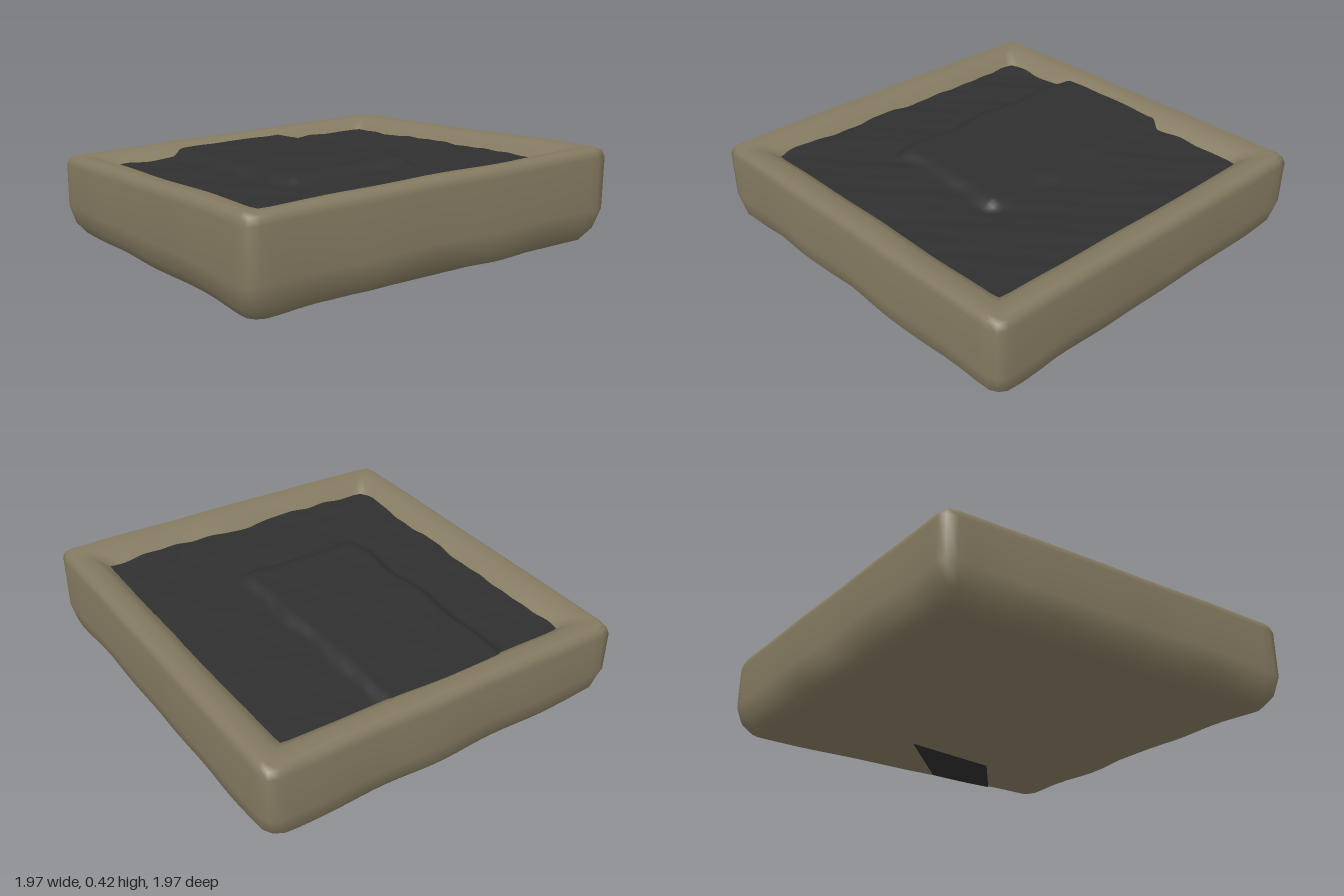
import * as THREE from 'three';

// Tilted planes of the slab, in local coordinates (u, v)
const topY = (u, v) => 0.385 + 0.035 * u + 0.041 * v;
const bottomY = (u, v) => 0.05 + 0.028 * u + 0.028 * v;

// Smooth repeatable unevenness, roughly -1..1
const wobble = (u, v, k = 1) =>
  (Math.sin(7.1 * u * k + 3.3 * v * k + 0.7) + Math.sin(-4.7 * u * k + 9.2 * v * k + 2.1) +
    Math.sin(13.3 * u * k + 11.1 * v * k)) / 3;

// Point on a rounded square of half size h, counterclockwise from above
function squarePoint(t, h, r) {
  const side = Math.floor(t * 4) % 4;
  const f = (t * 4 - Math.floor(t * 4)) * 2 - 1;
  const [a, b] = [[1, -f], [-f, -1], [-1, f], [f, 1]][side];
  const k = Math.max(h - r, 0);
  const iu = THREE.MathUtils.clamp(a * h, -k, k);
  const iv = THREE.MathUtils.clamp(b * h, -k, k);
  const du = a * h - iu, dv = b * h - iv;
  const len = Math.hypot(du, dv) || 1;
  return [iu + (du / len) * Math.min(r, h), iv + (dv / len) * Math.min(r, h)];
}

// Frame body: rings lofted from the underside, up the walls, over the rim
function frameGeometry() {
  // half size, corner radius, base plane, height offset, unevenness
  const rings = [
    [0, 0, bottomY, 0, 0],
    [0.645, 0.05, bottomY, 0, 0],
    [0.69, 0.06, bottomY, 0.018, 0.012],
    [0.72, 0.06, bottomY, 0.06, 0.016],
    [0.735, 0.045, bottomY, 0.13, 0.01],
    [0.731, 0.03, topY, -0.035, 0.004],
    [0.723, 0.03, topY, -0.01, 0.003],
    [0.708, 0.03, topY, 0, 0.003],
    [0.65, 0.02, topY, -0.004, 0.004],
    [0.61, 0.015, topY, -0.03, 0.005],
    [0.57, 0.01, topY, -0.075, 0],
  ];
  const n = 128, pos = [], index = [];
  rings.forEach(([h, r, plane, dy, rough], i) => {
    for (let j = 0; j < n; j++) {
      const [u, v] = squarePoint(j / n, h, r);
      const push = 1 + rough * 0.5 * wobble(v, u, 1.3);
      pos.push(u * push, plane(u, v) + dy + rough * wobble(u, v), v * push);
      if (i === 0) continue;
      const a = (i - 1) * n + j, b = (i - 1) * n + ((j + 1) % n);
      index.push(a, b, a + n, b, b + n, a + n);
    }
  });
  const g = new THREE.BufferGeometry();
  g.setAttribute('position', new THREE.Float32BufferAttribute(pos, 3));
  g.setIndex(index);
  g.computeVertexNormals();
  return g;
}

// Dark inset: uneven sheet with a raised rectangular block toward the back
function panelGeometry() {
  const g = new THREE.PlaneGeometry(1.26, 1.26, 90, 90).rotateX(-Math.PI / 2);
  const p = g.attributes.position;
  const step = THREE.MathUtils.smoothstep;
  for (let i = 0; i < p.count; i++) {
    const u = p.getX(i), v = p.getZ(i);
    const wave = 0.012 * wobble(u, v, 2);
    const block = step(u + wave, -0.33, -0.28) * (1 - step(u + wave, 0.18, 0.23)) *
      (1 - step(v + wave, 0.23, 0.29));
    const rough = 0.006 * wobble(u, v, 1.7) + 0.003 * wobble(v, u, 4);
    p.setY(i, topY(u, v) - 0.046 + 0.026 * block + rough * (1 - 0.7 * block));
  }
  g.computeVertexNormals();
  return g;
}

// Dark patch showing through the underside
function patchGeometry() {
  const outline = [[0.64, 0.42], [0.404, 0.24], [0.347, -0.15], [0.635, 0.13], [0.642, 0.28]];
  const g = new THREE.ShapeGeometry(new THREE.Shape(outline.map(([u, v]) => new THREE.Vector2(u, v))));
  g.rotateX(Math.PI / 2);
  const p = g.attributes.position;
  for (let i = 0; i < p.count; i++) p.setY(i, bottomY(p.getX(i), p.getZ(i)) - 0.006);
  g.computeVertexNormals();
  return g;
}

export function createModel() {
  const stone = new THREE.MeshStandardMaterial({ color: 0x857b61 });
  stone.name = 'tan stone';
  const dark = new THREE.MeshStandardMaterial({ color: 0x303031, side: THREE.DoubleSide });
  dark.name = 'charcoal';

  const group = new THREE.Group();
  group.name = 'framedSlab';
  const add = (name, geometry, material) => {
    const mesh = new THREE.Mesh(geometry, material);
    mesh.name = name;
    group.add(mesh);
  };
  add('frame', frameGeometry(), stone);
  add('insetPanel', panelGeometry(), dark);
  add('undersidePatch', patchGeometry(), dark);

  // The slab sits turned on the ground
  group.rotation.y = THREE.MathUtils.degToRad(29.6);
  return group;
}
